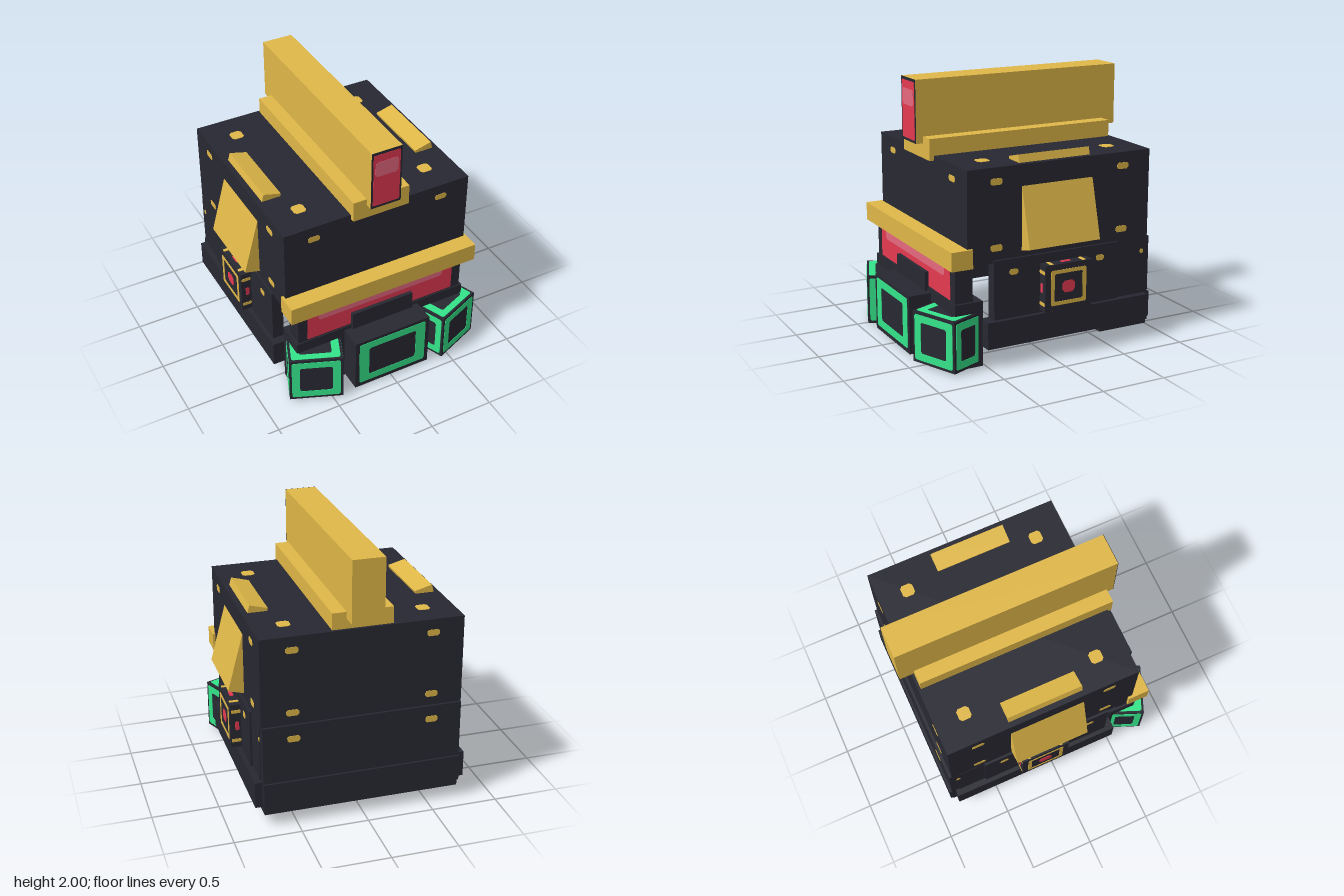
import * as THREE from 'three';

const mat = (name, color) => Object.assign(new THREE.MeshStandardMaterial({ color }), { name });

export function createModel() {
  const dark = mat('charcoal', 0x282832);
  const gold = mat('gold', 0xe0b848);
  const red = mat('red', 0xe63a52);
  const pink = mat('visor highlight', 0xee6c84);
  const green = mat('green', 0x34e58a);
  const model = new THREE.Group();
  model.name = 'helmet';

  // Box given by its extents on each axis
  function box(name, material, [x0, x1], [y0, y1], [z0, z1], parent = model) {
    const m = new THREE.Mesh(new THREE.BoxGeometry(x1 - x0, y1 - y0, z1 - z0), material);
    m.position.set((x0 + x1) / 2, (y0 + y1) / 2, (z0 + z1) / 2);
    m.name = name;
    parent.add(m);
  }
  // Mirrored pair of boxes
  function pair(name, material, [x0, x1], y, z) {
    box(name + 'Left', material, [x0, x1], y, z);
    box(name + 'Right', material, [-x1, -x0], y, z);
  }

  // Rectangle with cut corners
  function outline(w, h, c, path) {
    const a = w / 2, b = h / 2;
    return path.setFromPoints([
      [-a + c, -b], [a - c, -b], [a, -b + c], [a, b - c],
      [a - c, b], [-a + c, b], [-a, b - c], [-a, -b + c],
    ].map(([x, y]) => new THREE.Vector2(x, y)));
  }
  const turns = {
    front: [0, 0], back: [0, Math.PI], left: [0, Math.PI / 2],
    right: [0, -Math.PI / 2], top: [-Math.PI / 2, 0], bottom: [Math.PI / 2, 0],
  };
  // Thin plate facing one way; [tx, ty] is the border width of an open frame
  function plate(name, material, face, [x, y, z], w, h, c, [tx, ty] = [0, 0], parent = model) {
    const s = outline(w, h, c, new THREE.Shape());
    if (tx) s.holes.push(outline(w - 2 * tx, h - 2 * ty, c, new THREE.Path()));
    const m = new THREE.Mesh(new THREE.ExtrudeGeometry(s, { depth: 0.003, bevelEnabled: false }), material);
    m.name = name;
    m.position.set(x, y, z);
    m.rotation.set(turns[face][0], turns[face][1], 0);
    parent.add(m);
  }

  // Hollow upper shell
  box('roof', dark, [-0.75, 0.75], [1.38, 1.46], [-0.845, 0.655]);
  box('forehead', dark, [-0.75, 0.75], [0.775, 1.38], [0.575, 0.655]);
  box('upperBack', dark, [-0.75, 0.75], [0.77, 1.38], [-0.845, -0.765]);
  pair('upperSide', dark, [0.67, 0.75], [0.77, 1.38], [-0.765, 0.575]);

  // Lower walls and rim, open underneath and at the front corners
  pair('cheekWall', dark, [0.68, 0.768], [0.35, 0.79], [-0.58, 0.455]);
  pair('rearCheekWall', dark, [0.68, 0.752], [0.35, 0.79], [-0.8, -0.58]);
  box('lowerBack', dark, [-0.745, 0.745], [0.35, 0.79], [-0.865, -0.77]);
  pair('sideRim', dark, [0.68, 0.8], [0.15, 0.35], [-0.833, 0.52]);
  box('backRim', dark, [-0.745, 0.745], [0.15, 0.35], [-0.882, -0.76]);
  box('backLip', dark, [-0.74, 0.74], [0.095, 0.15], [-0.862, -0.76]);
  pair('sideLip', dark, [0.66, 0.74], [0.095, 0.15], [-0.76, -0.45]);

  // Brow and visor
  box('brow', gold, [-0.77, 0.77], [0.76, 0.9], [0.62, 0.787]);
  box('visorFrame', dark, [-0.69, 0.69], [0.49, 0.775], [0.585, 0.724]);
  plate('visor', red, 'front', [0, 0.63, 0.724], 1.23, 0.26, 0.005);
  plate('visorHighlight', pink, 'front', [0, 0.695, 0.726], 1.05, 0.08, 0.015);

  // Chin and mouthpiece
  box('chin', dark, [-0.71, 0.71], [0, 0.49], [0.515, 0.735]);
  box('noseBlock', dark, [-0.255, 0.255], [0.46, 0.61], [0.58, 0.755]);
  box('mouthBlock', dark, [-0.315, 0.315], [0.02, 0.465], [0.55, 0.912]);
  plate('mouthFrame', green, 'front', [0, 0.247, 0.912], 0.565, 0.385, 0.012, [0.082, 0.06]);

  for (const s of [1, -1]) {
    const side = s > 0 ? 'left' : 'right';

    // Angled jaw boxes with green frames
    const jaw = new THREE.Group();
    jaw.name = side + 'JawBox';
    jaw.position.set(s * 0.562, 0.212, 0.726);
    jaw.rotation.y = s * 0.385;
    box('jawBody', dark, [-0.2, 0.2], [-0.193, 0.193], [-0.145, 0.145], jaw);
    plate('jawFrame', green, 'front', [0, 0, 0.145], 0.364, 0.345, 0.012, [0.06, 0.055], jaw);
    for (const [face, d] of [['left', 1], ['right', -1]])
      plate('jawFrame', green, face, [d * 0.2, 0, 0], 0.256, 0.345, 0.012, [0.05, 0.055], jaw);
    for (const [face, d] of [['top', 1], ['bottom', -1]])
      plate('jawFrame', green, face, [0, d * 0.193, 0], 0.364, 0.256, 0.012, [0.06, 0.05], jaw);
    model.add(jaw);

    // Ear blocks: framed light outside, short bars and small lights on the narrow faces
    const ear = new THREE.Group();
    ear.name = side + 'Ear';
    ear.position.set(s * 0.79, 0.545, -0.108);
    box('earBody', dark, [-0.058, 0.058], [-0.175, 0.175], [-0.193, 0.193], ear);
    plate('earFrame', gold, side, [s * 0.058, 0, 0], 0.295, 0.265, 0.01, [0.03, 0.028], ear);
    plate('earLight', red, side, [s * 0.058, 0, 0], 0.1, 0.088, 0.02, [0, 0], ear);
    for (const [face, d] of [['front', 1], ['back', -1]]) {
      plate('earLight', red, face, [s * 0.008, 0, d * 0.193], 0.03, 0.07, 0.006, [0, 0], ear);
      for (const e of [1, -1])
        plate('earBar', gold, face, [s * 0.016, e * 0.119, d * 0.193], 0.072, 0.026, 0.006, [0, 0], ear);
    }
    for (const [face, d] of [['top', 1], ['bottom', -1]]) {
      plate('earLight', red, face, [s * 0.008, d * 0.175, 0], 0.03, 0.08, 0.006, [0, 0], ear);
      for (const e of [1, -1])
        plate('earBar', gold, face, [s * 0.016, d * 0.175, e * 0.133], 0.072, 0.028, 0.006, [0, 0], ear);
    }
    model.add(ear);

    // Slanted side slabs breaking through roof and walls
    const slab = new THREE.Mesh(new THREE.BoxGeometry(0.14, 0.675, 0.58), gold);
    slab.name = side + 'Slab';
    slab.position.set(s * 0.7125, 1.173, -0.065);
    slab.rotation.z = s * 0.262;
    model.add(slab);

    // Studs
    for (const y of [1.358, 0.88])
      for (const z of [0.427, -0.613]) plate('sideStud', gold, side, [s * 0.75, y, z], 0.095, 0.048, 0.013);
    for (const z of [0.298, -0.42]) plate('cheekStud', gold, side, [s * 0.768, 0.692, z], 0.068, 0.044, 0.012);
    plate('smallStud', gold, side, [s * 0.752, 0.682, -0.798], 0.03, 0.036, 0.01);
    for (const z of [0.42, -0.618]) plate('roofStud', gold, 'top', [s * 0.518, 1.46, z], 0.095, 0.095, 0.018);
    plate('frontStud', gold, 'front', [s * 0.518, 1.358, 0.655], 0.095, 0.045, 0.013);
    for (const [y, z] of [[1.358, -0.845], [0.88, -0.845], [0.685, -0.865]])
      plate('backStud', gold, 'back', [s * 0.518, y, z], 0.095, 0.048, 0.013);
  }

  // Crest
  box('crestBase', gold, [-0.225, 0.225], [1.425, 1.585], [-0.825, 0.69]);
  box('crest', gold, [-0.12, 0.12], [1.535, 2], [-0.938, 0.745]);
  plate('crestFacePlate', dark, 'front', [0, 1.7675, 0.745], 0.24, 0.465, 0.001);
  plate('crestPanel', red, 'front', [0, 1.767, 0.747], 0.212, 0.425, 0.008);
  plate('crestHighlight', pink, 'front', [0, 1.86, 0.749], 0.18, 0.12, 0.015);

  return model;
}
